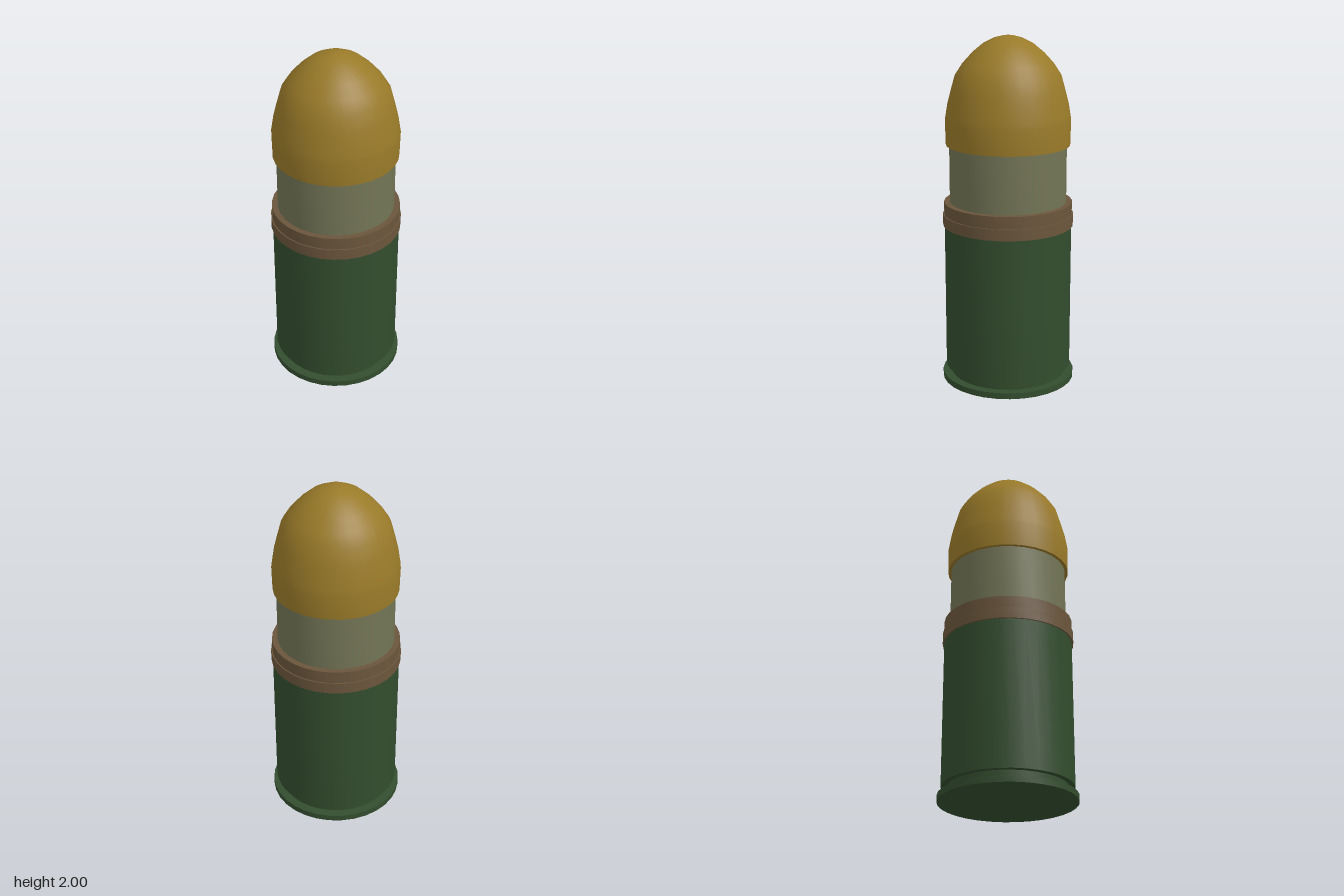
import * as THREE from 'three';
import { toCreasedNormals } from 'three/addons/utils/BufferGeometryUtils.js';

const SIDES = 32;

// Turned part: profile of [radius, height] from bottom to top
function turned(name, color, profile) {
  const points = profile.map(([r, y]) => new THREE.Vector2(r, y));
  const geometry = toCreasedNormals(new THREE.LatheGeometry(points, SIDES), Math.PI / 6);
  const mesh = new THREE.Mesh(geometry, new THREE.MeshStandardMaterial({ color }));
  mesh.name = name;
  return mesh;
}

export function createModel() {
  const model = new THREE.Group();
  model.name = 'cartridge';

  model.add(
    // Case with base rim, extractor groove and straight wall
    turned('case', 0x334d2e, [
      [0, 0], [0.384, 0], [0.384, 0.035], [0.333, 0.035], [0.333, 0.08],
      [0.364, 0.08], [0.364, 0.925], [0.333, 0.925],
    ]),
    // Stepped band around the case mouth
    turned('drivingBand', 0x6b563c, [
      [0.333, 0.925], [0.373, 0.925], [0.373, 0.99], [0.366, 0.99],
      [0.366, 1.06], [0.333, 1.06],
    ]),
    // Exposed projectile body
    turned('projectileBody', 0x737556, [[0.333, 1.06], [0.333, 1.39]]),
    // Rounded nose overhanging the projectile body
    turned('noseCap', 0x997a29, [
      [0.333, 1.39], [0.352, 1.39], [0.355, 1.53], [0.35, 1.56], [0.34, 1.62],
      [0.322, 1.69], [0.297, 1.78], [0.255, 1.845], [0.2, 1.905],
      [0.14, 1.955], [0.08, 1.985], [0.03, 1.998], [0, 2],
    ]),
  );
  return model;
}
